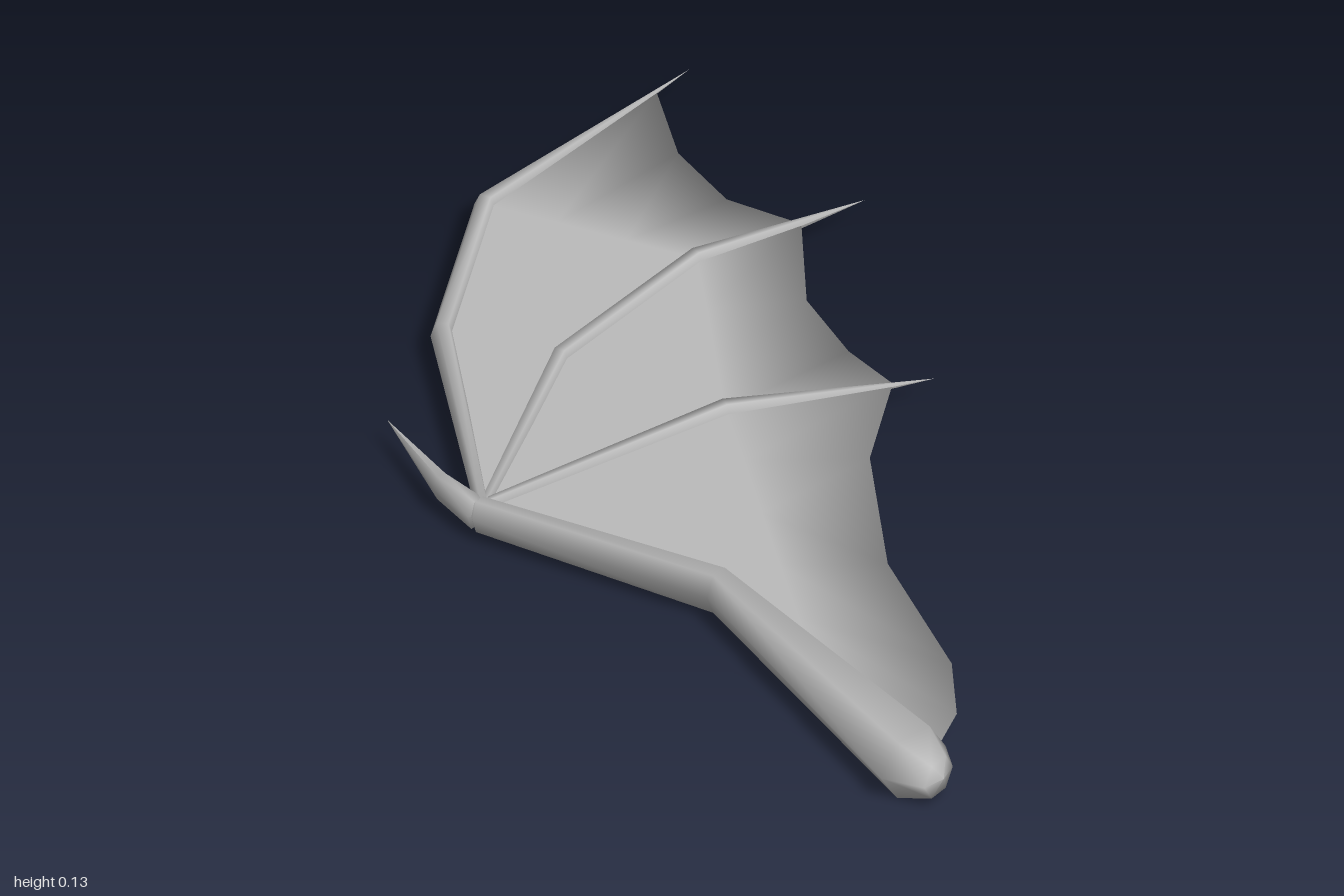
import * as THREE from 'three';

const MID = 0.065; // height of the wing's centre plane
const wingGrey = new THREE.MeshStandardMaterial({ color: 0xbbbbbb });

function smoothMesh(name, positions, index) {
  const geometry = new THREE.BufferGeometry();
  geometry.setAttribute('position', new THREE.Float32BufferAttribute(positions, 3));
  geometry.setIndex(index);
  geometry.computeVertexNormals();
  const mesh = new THREE.Mesh(geometry, wingGrey);
  mesh.name = name;
  return mesh;
}

// Six-sided bone through sections [x, z, half width, half height of the hexagon's circle]
function bone(name, sections) {
  const sides = 6, pos = [], index = [];
  sections.forEach(([x, z, rx, ry], i) => {
    const p = sections[Math.max(i - 1, 0)];
    const n = sections[Math.min(i + 1, sections.length - 1)];
    const unit = (a, b) => new THREE.Vector2(b[0] - a[0], b[1] - a[1]).normalize();
    const dir = unit(p, sections[i]).add(unit(sections[i], n)).normalize();
    for (let j = 0; j < sides; j++) {
      const t = (j / sides) * Math.PI * 2;
      const w = rx * Math.cos(t);
      pos.push(x - dir.y * w, MID + ry * Math.sin(t), z + dir.x * w);
    }
  });
  for (let i = 0; i < sections.length - 1; i++) {
    for (let j = 0; j < sides; j++) {
      const a = i * sides + j, b = i * sides + ((j + 1) % sides);
      index.push(a, a + sides, b, b, a + sides, b + sides);
    }
  }
  return smoothMesh(name, pos, index);
}

// Skin stretched over spokes; a lens that closes to a sharp trailing rim
function membrane() {
  const wrist = [-0.56, -0.16];
  const spokes = [
    [wrist, [-0.29, -0.63], [0.01, -0.89], [0.47, -0.98]],
    [wrist, [-0.165, -0.44], [0.217, -0.525], [0.44, -0.503]],
    [wrist, [-0.29, -0.145], [-0.02, -0.13], [0.28, -0.016]],
    [wrist, [-0.353, 0.29], [-0.365, 0.6], [-0.32, 0.91]],
  ];
  // Scalloped rim points between neighbouring spokes
  const scallops = [
    [[0.39, -0.81], [0.376, -0.645]],
    [[0.307, -0.312], [0.275, -0.143]],
    [[0.11, 0.138], [-0.058, 0.413], [-0.148, 0.725], [-0.233, 0.852]],
  ];
  const lerp = (a, b, t) => [a[0] + (b[0] - a[0]) * t, a[1] + (b[1] - a[1]) * t];
  const columns = [];
  scallops.forEach((rim, s) => {
    columns.push(spokes[s]);
    rim.forEach((point, k) => {
      const t = (k + 1) / (rim.length + 1);
      const inner = [0, 1, 2].map((r) => lerp(spokes[s][r], spokes[s + 1][r], t));
      columns.push([...inner, point]);
    });
  });
  columns.push(spokes[3]);

  const half = [0.012, 0.012, 0.01], pos = [], index = [];
  // Each column: three top points, three bottom points, one shared rim point
  columns.forEach((column) => {
    for (const side of [1, -1]) {
      half.forEach((h, r) => pos.push(column[r][0], MID + side * h, column[r][1]));
    }
    pos.push(column[3][0], MID, column[3][1]);
  });
  const topRow = [0, 1, 2, 6], bottomRow = [3, 4, 5, 6];
  for (let k = 0; k < columns.length - 1; k++) {
    for (let r = 0; r < 3; r++) {
      for (const row of [topRow, bottomRow]) {
        const a = k * 7 + row[r], b = k * 7 + row[r + 1], c = a + 7, d = b + 7;
        if (row === topRow) index.push(a, c, b, b, c, d);
        else index.push(a, b, c, b, d, c);
      }
    }
  }
  return smoothMesh('wingMembrane', pos, index);
}

export function createModel() {
  const wing = new THREE.Group();
  wing.name = 'wing';
  wing.add(
    // Rounded shoulder, upper arm, elbow and forearm
    bone('arm', [
      [-0.372, 0.995, 0, 0], [-0.376, 0.985, 0.042, 0.042], [-0.385, 0.92, 0.077, 0.074],
      [-0.353, 0.29, 0.033, 0.049], [-0.563, -0.16, 0.021, 0.04], [-0.567, -0.19, 0, 0],
    ]),
    // Clawed thumb
    bone('thumb', [
      [-0.555, -0.14, 0, 0], [-0.565, -0.17, 0.02, 0.039],
      [-0.567, -0.27, 0.018, 0.03], [-0.524, -0.49, 0, 0],
    ]),
    // Fingers that spread the skin
    bone('leadingFinger', [
      [-0.56, -0.15, 0.012, 0.034], [-0.29, -0.63, 0.022, 0.034],
      [0.01, -0.895, 0.022, 0.029], [0.56, -1, 0, 0],
    ]),
    bone('middleFinger', [
      [-0.56, -0.155, 0.01, 0.032], [-0.165, -0.44, 0.02, 0.032],
      [0.217, -0.53, 0.019, 0.029], [0.577, -0.49, 0, 0],
    ]),
    bone('rearFinger', [
      [-0.56, -0.16, 0.01, 0.032], [-0.02, -0.13, 0.02, 0.032], [0.35, 0.018, 0, 0],
    ]),
    membrane(),
  );
  return wing;
}
